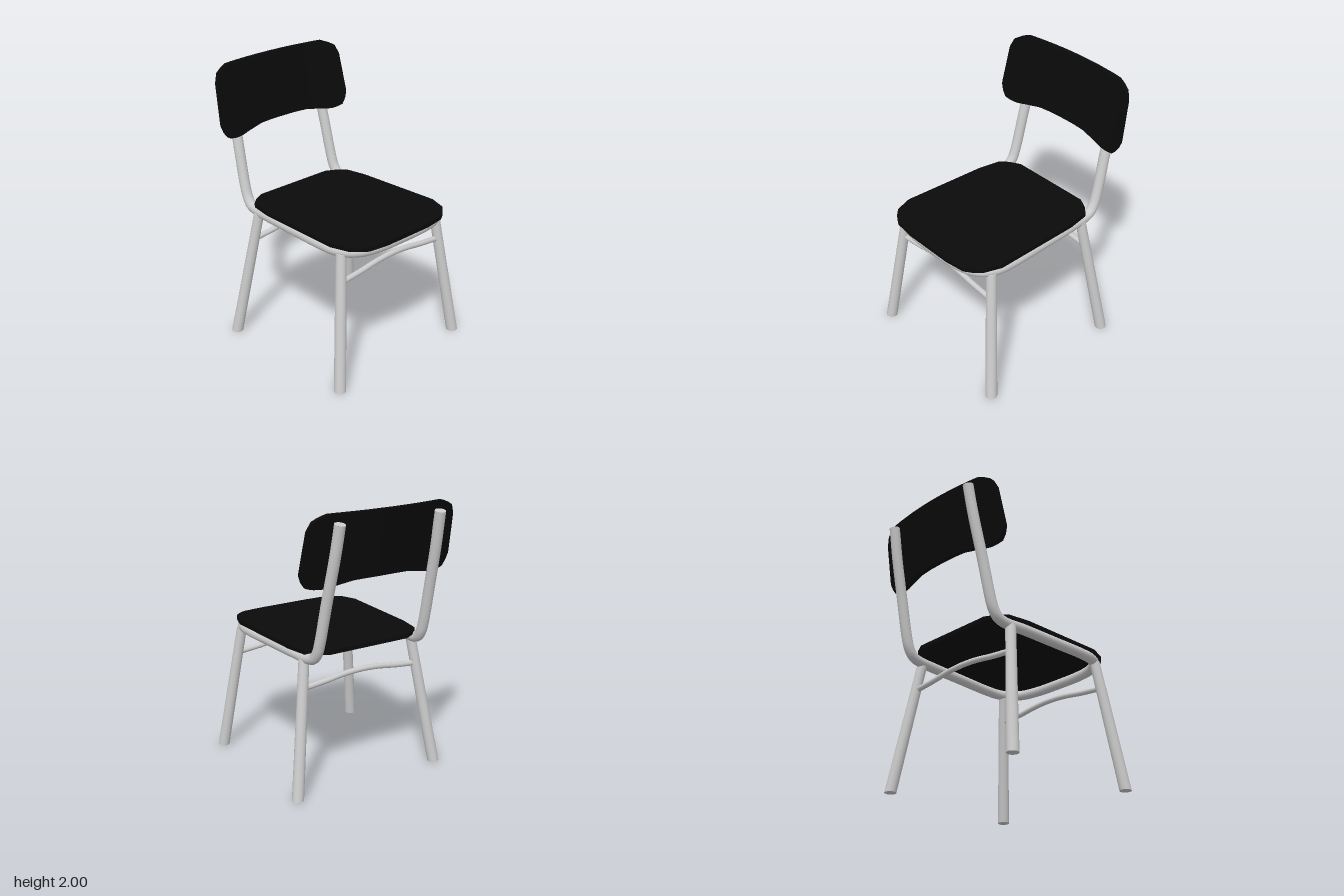
import * as THREE from 'three';

const V = (x, y, z) => new THREE.Vector3(x, y, z);
const metal = new THREE.MeshStandardMaterial({ color: 0xcccccc });
const black = new THREE.MeshStandardMaterial({ color: 0x0a0a0a });

function part(parent, name, geometry, material) {
  const mesh = new THREE.Mesh(geometry, material);
  mesh.name = name;
  parent.add(mesh);
  return mesh;
}

// Box whose vertices are moved by rule(a, b, c), each running 0..1
function shapedBox(segs, rule) {
  const g = new THREE.BoxGeometry(1, 1, 1, ...segs);
  const p = g.attributes.position;
  for (let i = 0; i < p.count; i++) {
    p.setXYZ(i, ...rule(p.getX(i) + 0.5, p.getY(i) + 0.5, p.getZ(i) + 0.5));
  }
  g.computeVertexNormals();
  return g;
}

// Round leg that leans but keeps horizontal ends
function leaningLeg(foot, top) {
  const h = top.y - foot.y;
  const g = new THREE.CylinderGeometry(0.037, 0.042, h, 20);
  g.translate(0, h / 2, 0);
  const kx = (top.x - foot.x) / h, kz = (top.z - foot.z) / h;
  g.applyMatrix4(new THREE.Matrix4().set(
    1, kx, 0, foot.x,
    0, 1, 0, foot.y,
    0, kz, 1, foot.z,
    0, 0, 0, 1));
  return g;
}

export function createModel() {
  const chair = new THREE.Group();
  chair.name = 'chair';

  // One bent tube: post, seat rail, around the front, rail, post
  const R = 0.038;
  const half = [
    [-0.677, 1.94, 0.395], [-0.66, 1.85, 0.398], [-0.63, 1.7, 0.405], [-0.56, 1.41, 0.418],
    [-0.488, 1.11, 0.428], [-0.462, 1.04, 0.43], [-0.425, 0.993, 0.433], [-0.365, 0.973, 0.437],
    [-0.2, 0.973, 0.453], [0.1, 0.973, 0.468], [0.36, 0.973, 0.48], [0.48, 0.973, 0.472],
    [0.57, 0.973, 0.43], [0.63, 0.973, 0.345], [0.66, 0.973, 0.2],
  ];
  const mirrored = half.map(([x, y, z]) => [x, y, -z]).reverse();
  const path = new THREE.CatmullRomCurve3(
    [...half, [0.665, 0.973, 0], ...mirrored].map((p) => V(...p)));
  const frame = new THREE.Group();
  frame.name = 'frame';
  chair.add(frame);
  part(frame, 'bentTube', new THREE.TubeGeometry(path, 200, R, 16), metal);
  for (const t of [0, 1]) {
    const cap = part(frame, 'tubeCap', new THREE.CircleGeometry(R, 16), metal);
    const out = path.getTangent(t).multiplyScalar(t ? 1 : -1);
    cap.position.copy(path.getPoint(t));
    cap.quaternion.setFromUnitVectors(V(0, 0, 1), out);
  }

  // Splayed legs and an arched stretcher across each pair
  const pairs = [
    { footX: 0.655, topX: 0.535, topZ: 0.462 },
    { footX: -0.45, topX: -0.318, topZ: 0.447 },
  ];
  for (const { footX, topX, topZ } of pairs) {
    for (const s of [1, -1]) {
      part(chair, 'leg', leaningLeg(V(footX, 0, 0.586 * s), V(topX, 0.965, topZ * s)), metal);
    }
    const x = THREE.MathUtils.lerp(footX, topX, 0.8);
    const arch = [[-0.47, 0.761], [-0.3, 0.778], [-0.14, 0.8], [0, 0.807], [0.14, 0.8], [0.3, 0.778], [0.47, 0.761]];
    const curve = new THREE.CatmullRomCurve3(arch.map(([z, y]) => V(x, y, z)));
    part(chair, 'stretcher', new THREE.TubeGeometry(curve, 32, 0.02, 12), metal);
  }

  // Seat stations along x: [x, half width, drop]
  const seat = [
    [-0.445, 0.32, 0], [-0.4, 0.405, 0], [-0.35, 0.46, 0], [-0.18, 0.49, 0], [0.15, 0.5, 0],
    [0.48, 0.51, 0], [0.61, 0.465, 0.002], [0.66, 0.41, 0.005], [0.692, 0.355, 0.009], [0.71, 0.2, 0.012],
  ];
  part(chair, 'seat', shapedBox([seat.length - 1, 1, 4], (a, b, c) => {
    const [x, w, drop] = seat[Math.round(a * (seat.length - 1))];
    return [x, 1.002 + 0.03 * b - drop, (2 * c - 1) * w];
  }), black);

  // Backrest stations across z: [z, bottom, top], leaning back and bowed
  const side = [
    [0.12, 1.535, 2], [0.22, 1.532, 2], [0.35, 1.51, 2], [0.4, 1.5, 2], [0.45, 1.495, 1.999],
    [0.5, 1.499, 1.98], [0.545, 1.51, 1.955], [0.572, 1.555, 1.9], [0.592, 1.6, 1.62],
  ];
  side[7] = [0.574, 1.55, 1.89];
  const back = [...side.map(([z, lo, hi]) => [-z, lo, hi]).reverse(), [0, 1.535, 2], ...side];
  part(chair, 'backrest', shapedBox([1, 8, back.length - 1], (a, b, c) => {
    const [z, lo, hi] = back[Math.round(c * (back.length - 1))];
    const y = lo + (hi - lo) * b;
    const front = -0.545 - 0.2 * (y - 1.535) + 0.18 * z * z;
    return [front - 0.036 * (1 - a), y, z];
  }), black);

  return chair;
}
